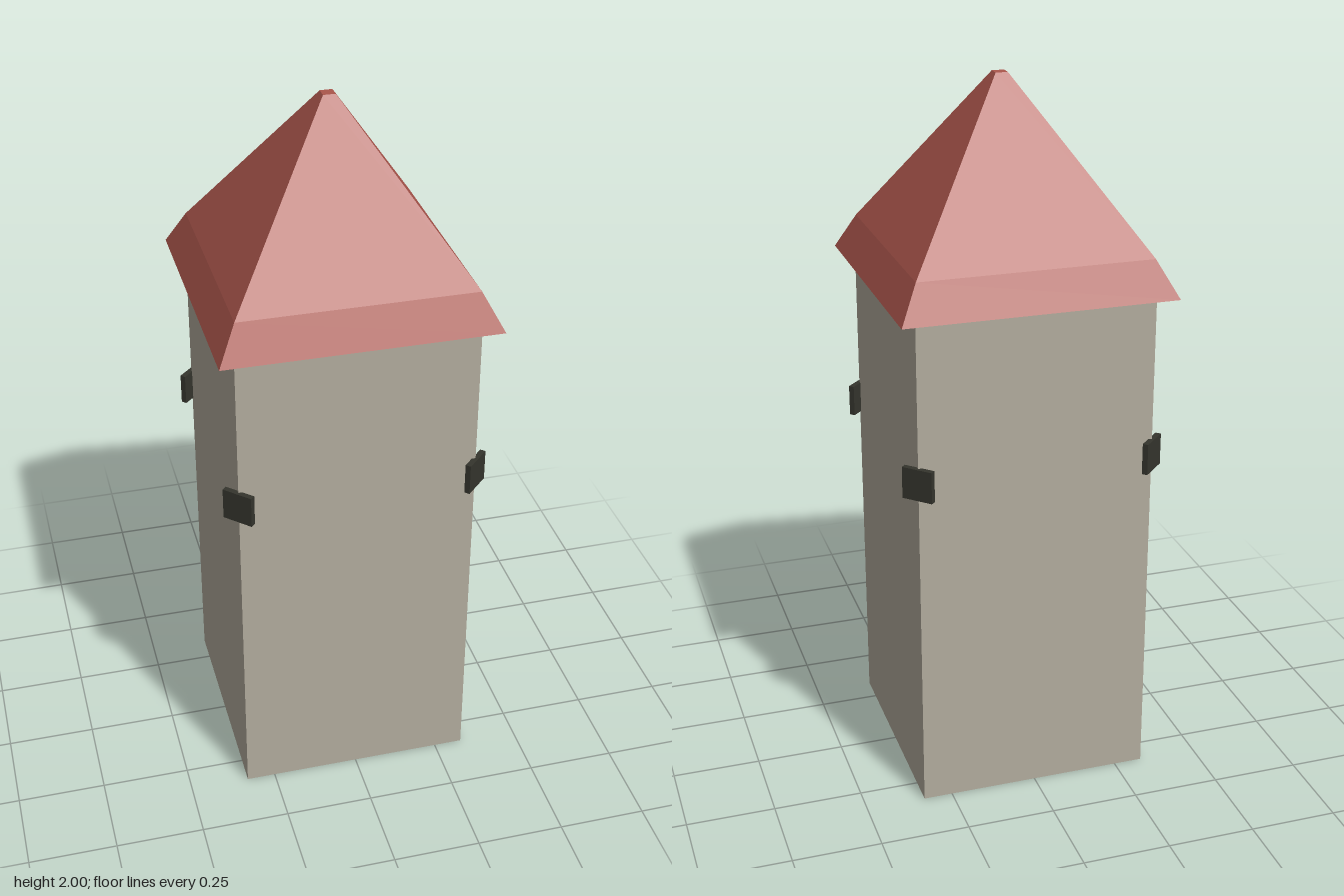
import * as THREE from 'three';

const WALL = 0.332;      // half width of the tower
const EAVE = 1.446;      // height where the roof starts

export function createModel() {
  const model = new THREE.Group();
  model.name = 'tower';

  const stone = new THREE.MeshStandardMaterial({ color: 0xb3ad9e });
  stone.name = 'stone';
  const tile = new THREE.MeshStandardMaterial({ color: 0xab564c });
  tile.name = 'roofTile';
  const iron = new THREE.MeshStandardMaterial({ color: 0x35352d });
  iron.name = 'darkIron';

  function add(name, geometry, material) {
    const mesh = new THREE.Mesh(geometry, material);
    mesh.name = name;
    model.add(mesh);
    return mesh;
  }

  // Square shaft
  add('shaft', new THREE.BoxGeometry(WALL * 2, EAVE, WALL * 2), stone).position.y = EAVE / 2;

  // Four-sided roof with flared eaves and a small flat tip
  const profile = [[0, EAVE], [0.38, EAVE], [0.327, 1.548], [0.017, 2], [0, 2]]
    .map(([halfWidth, y]) => new THREE.Vector2(halfWidth * Math.SQRT2, y));
  const roof = new THREE.LatheGeometry(profile, 4, Math.PI / 4).toNonIndexed();
  roof.computeVertexNormals();
  add('roof', roof, tile);

  // Square plate set diagonally across each corner
  for (const sx of [-1, 1]) {
    for (const sz of [-1, 1]) {
      const plate = add('cornerPlate', new THREE.BoxGeometry(0.09, 0.09, 0.016), iron);
      plate.position.set(sx * WALL, 0.99, sz * WALL);
      plate.rotation.y = Math.atan2(sx, sz);
    }
  }

  return model;
}
